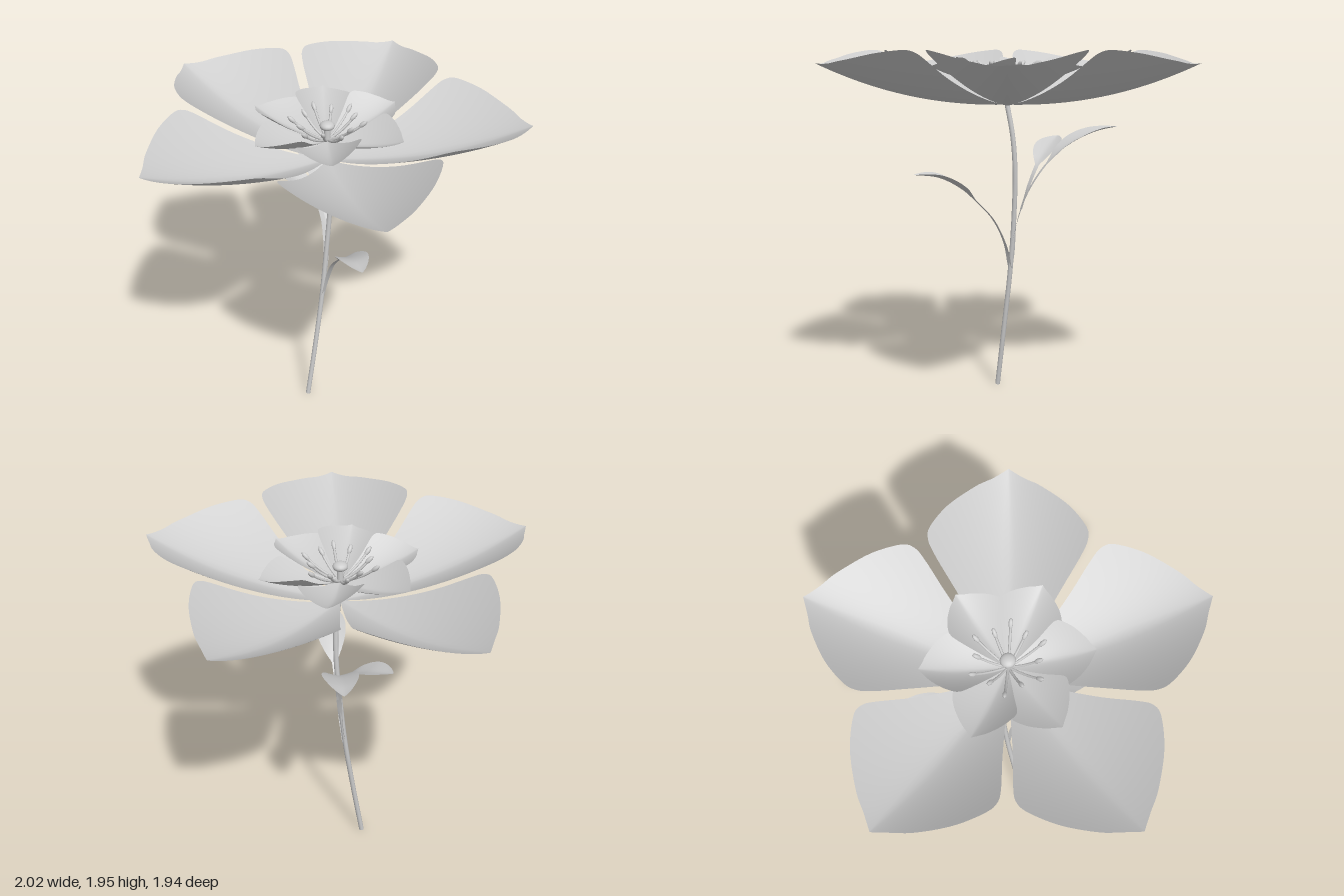
import * as THREE from 'three';

const material = new THREE.MeshStandardMaterial({ color: 0xcccccc });
const thin = new THREE.MeshStandardMaterial({ color: 0xcccccc, side: THREE.DoubleSide });
const V = (x, y, z) => new THREE.Vector3(x, y, z);

// Smooth sheet from a rule: at(t, s) with t along (0..1) and s across (-1..1)
function sheet(rows, cols, at) {
  const pos = [], index = [];
  for (let i = 0; i <= rows; i++) {
    for (let j = 0; j <= cols; j++) pos.push(...at(i / rows, (j / cols) * 2 - 1).toArray());
  }
  for (let i = 0; i < rows; i++) {
    for (let j = 0; j < cols; j++) {
      const a = i * (cols + 1) + j, b = a + cols + 1;
      index.push(a, b, a + 1, b, b + 1, a + 1);
    }
  }
  const g = new THREE.BufferGeometry();
  g.setAttribute('position', new THREE.Float32BufferAttribute(pos, 3));
  g.setIndex(index);
  g.computeVertexNormals();
  return g;
}

function add(parent, name, geometry, mat = material) {
  const mesh = new THREE.Mesh(geometry, mat);
  mesh.name = name;
  parent.add(mesh);
  return mesh;
}

// Half outline of a petal: (half width, distance from the centre)
const outline = new THREE.SplineCurve([
  [0.003, 0.005], [0.13, 0.2], [0.26, 0.4], [0.365, 0.55], [0.398, 0.62],
  [0.385, 0.69], [0.3, 0.82], [0.17, 0.945], [0.08, 1.005], [0, 1.06],
].map(p => new THREE.Vector2(...p)));

// Petal pointing along +z, folded along its midrib and curving up to the tip
function petalGeometry() {
  return sheet(44, 24, (t, s) => {
    const e = outline.getPoint(t);
    const w = e.x * s;
    const y = 0.205 * Math.pow(e.y, 2.2) + 0.22 * Math.pow(Math.abs(w) / 0.4, 1.4);
    return V(w, y, e.y);
  });
}

function petalRing(name, count, turn, tilt) {
  const ring = new THREE.Group();
  ring.name = name;
  const geometry = petalGeometry();
  for (let i = 0; i < count; i++) {
    const petal = add(ring, 'petal', geometry, thin);
    petal.rotation.set(0, turn + (i / count) * Math.PI * 2, tilt);
  }
  return ring;
}

// Flat leaf stalk that widens into a folded blade at fraction "start"
function leaf(parent, name, points, start, halfWidth) {
  const curve = new THREE.CatmullRomCurve3(points.map(p => V(...p)));
  add(parent, name, sheet(50, 10, (t, s) => {
    const p = curve.getPointAt(t), d = curve.getTangentAt(t);
    const side = V(d.z, 0, -d.x).normalize();
    const up = d.clone().cross(side).normalize();
    const k = Math.max(0, (t - start) / (1 - start));
    const blade = halfWidth * Math.pow(Math.sin(Math.PI * Math.pow(k, 1.15)), 0.8);
    const stalk = 0.014 * (1 - k);
    const w = Math.max(blade || 0, stalk);
    const lift = 0.25 * w * Math.pow(Math.abs(s), 1.4) * Math.min(1, k * 4);
    return p.addScaledVector(side, w * s).addScaledVector(up, lift);
  }), thin);
}

export function createModel() {
  const model = new THREE.Group();
  model.name = 'flower';

  // Curved stem
  const stemPath = new THREE.CatmullRomCurve3([
    V(-0.125, 0, -0.09), V(-0.07, 0.36, -0.11), V(-0.02, 0.72, -0.13), V(0.012, 1.05, -0.14),
    V(0.03, 1.3, -0.137), V(0.03, 1.48, -0.122), V(0.012, 1.655, -0.095),
  ]);
  add(model, 'stem', new THREE.TubeGeometry(stemPath, 48, 0.014, 12));
  const stemEnd = add(model, 'stemEnd', new THREE.CircleGeometry(0.014, 12));
  stemEnd.position.set(-0.125, 0.001, -0.09);
  stemEnd.rotation.x = Math.PI / 2;

  // One leaf in front, a forked pair behind
  leaf(model, 'frontLeaf', [
    [-0.015, 0.72, -0.125], [0, 0.86, -0.09], [0.01, 1, -0.02], [0.02, 1.1, 0.07],
    [0.03, 1.2, 0.19], [0.03, 1.26, 0.31], [0.03, 1.28, 0.45],
  ], 0.52, 0.085);
  leaf(model, 'backLeaf', [
    [-0.01, 0.75, -0.135], [0.01, 0.95, -0.15], [0.02, 1.08, -0.185], [0.03, 1.2, -0.24],
    [0.035, 1.33, -0.34], [0.04, 1.43, -0.47], [0.04, 1.49, -0.62], [0.04, 1.515, -0.76],
  ], 0.54, 0.092);
  leaf(model, 'sideLeaf', [
    [0.018, 1.06, -0.178], [0.015, 1.19, -0.225], [-0.015, 1.3, -0.285],
    [-0.11, 1.39, -0.385], [-0.23, 1.45, -0.5],
  ], 0.42, 0.075);

  // Flower head: five large petals, six small ones inside
  const head = new THREE.Group();
  head.name = 'flowerHead';
  head.position.set(0.005, 1.648, -0.1);
  model.add(head);
  head.add(petalRing('outerPetals', 5, -0.035, 0));
  const inner = petalRing('innerPetals', 6, -0.21, 0.1);
  inner.scale.set(0.41, 0.43, 0.41);
  inner.position.y = 0.115;
  head.add(inner);

  // Pistil with a round top
  const pistil = add(head, 'pistil', new THREE.CylinderGeometry(0.016, 0.022, 0.2, 12));
  pistil.position.y = 0.1;
  const stigma = add(head, 'stigma', new THREE.SphereGeometry(0.04, 16, 10));
  stigma.scale.y = 0.6;
  stigma.position.y = 0.2;

  // Stamens curving outward, thicker at the tip
  const stamens = new THREE.Group();
  stamens.name = 'stamens';
  head.add(stamens);
  for (let i = 0; i < 12; i++) {
    const reach = i % 2 ? 0.16 : 0.2;
    const path = new THREE.QuadraticBezierCurve3(
      V(0, 0.12, 0.01), V(0, 0.15, reach * 0.6), V(0, 0.235, reach));
    const stamen = new THREE.Group();
    stamen.name = 'stamen';
    stamen.rotation.y = 0.1 + (i / 12) * Math.PI * 2;
    add(stamen, 'filament', new THREE.TubeGeometry(path, 10, 0.007, 6));
    const anther = add(stamen, 'anther', new THREE.SphereGeometry(0.012, 8, 8));
    anther.scale.z = 2.4;
    anther.position.copy(path.getPoint(0.92));
    anther.rotation.x = -0.75;
    stamens.add(stamen);
  }
  return model;
}
